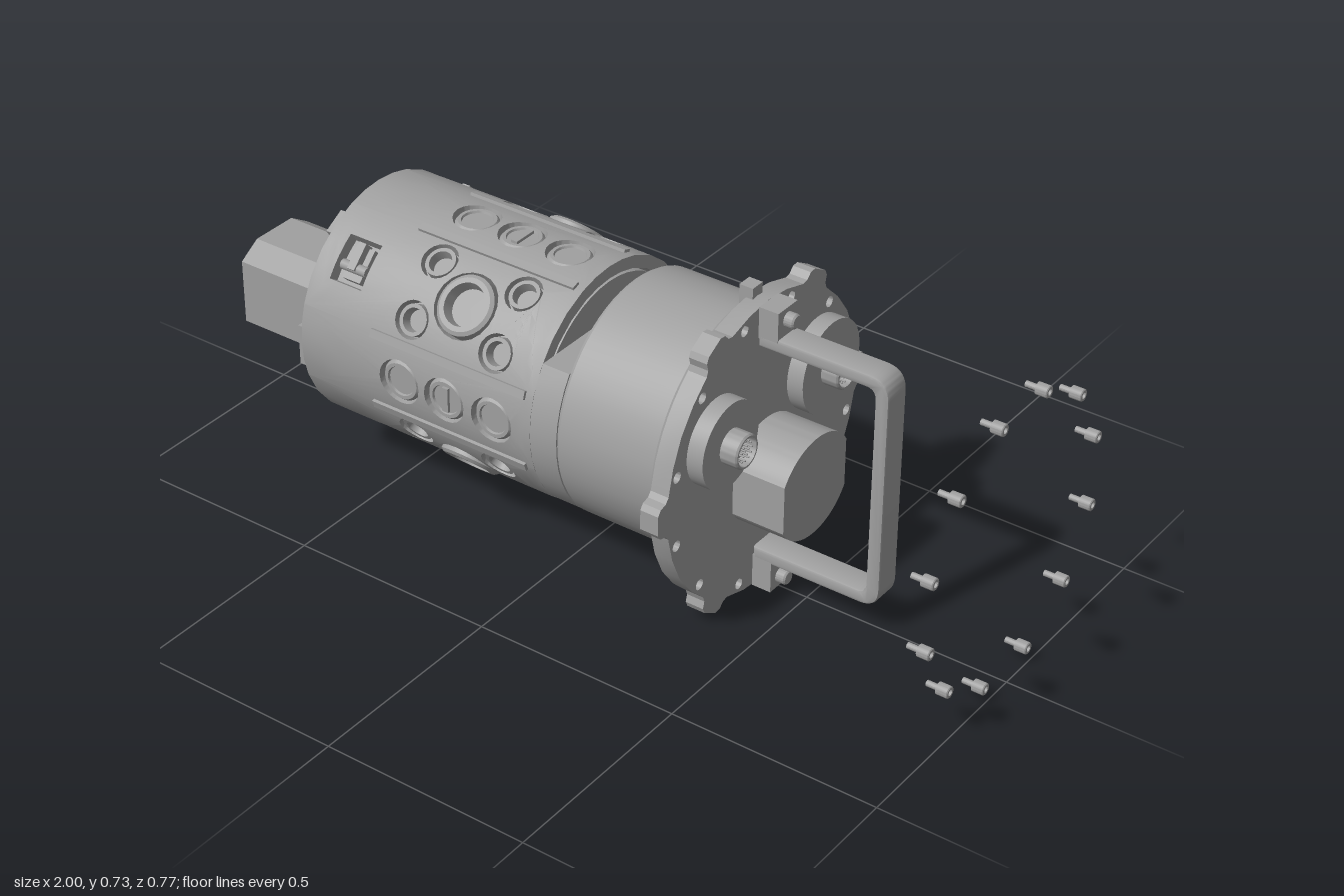
import * as THREE from 'three';
import { toCreasedNormals } from 'three/addons/utils/BufferGeometryUtils.js';

const CY = 0.36;          // height of the housing axis
const R = 0.285;          // housing radius
const rad = THREE.MathUtils.degToRad;

export function createModel() {
  const model = new THREE.Group();
  const grey = new THREE.MeshStandardMaterial({ color: 0xa0a0a0 });
  grey.name = 'metal grey';

  const add = (name, geo, pos = [0, 0, 0], parent = model) => {
    const mesh = new THREE.Mesh(geo, grey);
    mesh.name = name;
    mesh.position.set(...pos);
    parent.add(mesh);
    return mesh;
  };
  const box = (name, x0, x1, y0, y1, z0, z1, parent = model) =>
    add(name, new THREE.BoxGeometry(x1 - x0, y1 - y0, z1 - z0),
      [(x0 + x1) / 2, (y0 + y1) / 2, (z0 + z1) / 2], parent);
  // turned part from [radius, height] pairs, axis along y
  const lathe = (pts, seg = 32) =>
    toCreasedNormals(new THREE.LatheGeometry(pts.map(p => new THREE.Vector2(...p)), seg), 0.5);
  // turned part with its axis along x
  const latheX = (pts, seg) => lathe(pts, seg).rotateZ(-Math.PI / 2);
  // shape in the (z, y) plane pushed along x
  const extrudeX = (shape, x0, x1) => toCreasedNormals(
    new THREE.ExtrudeGeometry(shape, { depth: x1 - x0, bevelEnabled: false, curveSegments: 16 })
      .rotateY(Math.PI / 2).translate(x0, 0, 0), 0.4);
  const poly = pts => new THREE.Shape(pts.map(p => new THREE.Vector2(...p)));
  const hole = (x, y, r) => new THREE.Path().absarc(x, y, r, 0, Math.PI * 2, true);

  // split every triangle in four so a flat panel can bend
  const subdivide = geo => {
    const p = geo.attributes.position, out = [];
    const v = i => new THREE.Vector3().fromBufferAttribute(p, i);
    for (let i = 0; i < p.count; i += 3) {
      const a = v(i), b = v(i + 1), c = v(i + 2);
      const ab = a.clone().lerp(b, 0.5), bc = b.clone().lerp(c, 0.5), ca = c.clone().lerp(a, 0.5);
      for (const q of [a, ab, ca, ab, b, bc, ca, bc, c, ab, bc, ca]) out.push(q.x, q.y, q.z);
    }
    const g = new THREE.BufferGeometry();
    g.setAttribute('position', new THREE.Float32BufferAttribute(out, 3));
    return g;
  };
  // bend a flat (x, arc length) panel round the axis, facing +y
  const wrap = shape => {
    const flat = new THREE.ExtrudeGeometry(shape, { depth: 0.03, bevelEnabled: false, curveSegments: 10 });
    const g = subdivide(subdivide(flat));
    const p = g.attributes.position;
    for (let i = 0; i < p.count; i++) {
      const r = R - 0.03 + p.getZ(i), t = -p.getY(i) / R;
      p.setXYZ(i, p.getX(i), r * Math.cos(t), r * Math.sin(t));
    }
    return toCreasedNormals(g, 0.5);
  };

  // inner core and stepped end cap
  add('core', latheX([[0, -0.695], [0.215, -0.695], [0.235, -0.685], [0.235, -0.672], [0.27, -0.672],
    [0.27, -0.65], [0.248, -0.65], [0.248, -0.03], [0, -0.03]], 48), [0, CY, 0]);
  for (let i = 0; i < 6; i++) {
    const g = new THREE.Group();
    g.position.y = CY;
    g.rotation.x = rad(30 + i * 60);
    g.name = 'endTab';
    model.add(g);
    box('endTabBlock', -0.69, -0.66, 0.2, 0.272, -0.03, 0.03, g);
  }

  // housing shell in eight bent sectors with ports
  const smallPort = lathe([[0.036, 0.243], [0.036, 0.28], [0.027, 0.28], [0.024, 0.256], [0, 0.256]], 24);
  const bigPort = lathe([[0.07, 0.243], [0.07, 0.284], [0.062, 0.29], [0.05, 0.29], [0.044, 0.262], [0, 0.262]]);
  const plug = lathe([[0.05, 0.243], [0.05, 0.272], [0.044, 0.279], [0.036, 0.279], [0.034, 0.274], [0, 0.274]]);
  for (let i = 0; i < 8; i++) {
    const diagonal = i % 2 === 1;
    const half = rad(diagonal ? 26 : 19) * R;
    const sector = new THREE.Group();
    sector.name = diagonal ? 'portSector' : 'plugSector';
    sector.position.y = CY;
    sector.rotation.x = i * Math.PI / 4;
    model.add(sector);
    const shape = poly([[-0.67, -half], [-0.03, -half], [-0.03, half], [-0.67, half]]);
    if (diagonal) {
      shape.holes.push(hole(-0.265, 0, 0.078));
      add('largePort', bigPort, [-0.265, 0, 0], sector);
      for (const sx of [-1, 1]) for (const sa of [-1, 1]) {
        const x = -0.265 + sx * 0.115;
        shape.holes.push(hole(x, sa * 0.072, 0.044));
        add('smallPort', smallPort, [x, 0, 0], sector).rotation.x = -sa * 0.072 / R;
      }
      if (i === 1 || i === 7) {   // latch window in the upper sectors
        shape.holes.push(new THREE.Path([[-0.62, -0.055], [-0.62, 0.055], [-0.53, 0.055], [-0.53, -0.055]]
          .map(p => new THREE.Vector2(...p))));
        box('latchBase', -0.6, -0.55, 0.24, 0.268, -0.04, 0.04, sector);
        box('latchLever', -0.585, -0.565, 0.26, 0.288, -0.045, 0.02, sector);
        add('latchPin', new THREE.CylinderGeometry(0.012, 0.012, 0.07, 16).rotateZ(Math.PI / 2),
          [-0.575, 0.272, 0.012], sector);
      }
    } else {
      for (const x of [-0.39, -0.265, -0.135]) {
        shape.holes.push(hole(x, 0, 0.055));
        add('plug', plug, [x, 0, 0], sector);
      }
      box('plugSlot', -0.273, -0.257, 0.27, 0.281, -0.03, 0.03, sector);
      for (const s of [-1, 1]) {
        const rail = new THREE.Group();
        rail.name = 'rail';
        rail.rotation.x = s * rad(18.5);
        sector.add(rail);
        box('railBar', -0.475, -0.05, 0.26, 0.292, -0.01, 0.01, rail);
      }
    }
    add('shell', wrap(shape), [0, 0, 0], sector);
  }

  // slot section: round below, cut flat at the top
  const cut = Math.asin(0.16 / R);
  const slot = new THREE.Shape();
  slot.absarc(0, CY, R - 0.001, Math.PI - cut, Math.PI * 2 + cut, false);
  add('slotSection', extrudeX(slot, -0.03, 0.04));
  // rear barrel and collar
  add('barrel', latheX([[0, 0.04], [0.28, 0.04], [R, 0.048], [R, 0.305], [0.278, 0.308], [0.278, 0.315],
    [0.325, 0.315], [0.335, 0.325], [0.335, 0.34], [0, 0.34]], 64), [0, CY, 0]);

  // flange plate with six lugs and twelve screw holes
  const polar = (deg, r) => [r * Math.cos(rad(deg)), 0.356 + r * Math.sin(rad(deg))];
  const outline = [];
  for (let i = 0; i < 6; i++) {
    const a = i * 60;
    for (const [d, r] of [[-8.5, 0.354], [-6.5, 0.362], [-5.5, 0.379], [-3.5, 0.387], [3.5, 0.387],
      [5.5, 0.379], [6.5, 0.362], [8.5, 0.354], [19, 0.354], [30, 0.355], [41, 0.354]])
      outline.push(polar(a + d, r));
  }
  const flange = poly(outline);
  const ring = [];
  for (let i = 0; i < 12; i++) ring.push(polar(15 + i * 30, 0.332));
  for (const [z, y] of ring) flange.holes.push(hole(z, y, 0.013));
  add('flange', extrudeX(flange, 0.335, 0.38));
  box('keyTab', 0.318, 0.352, 0.66, 0.735, -0.018, 0.018);

  // loose screws waiting behind the flange
  const screw = latheX([[0, 0.945], [0.007, 0.945], [0.007, 0.972], [0.014, 0.972], [0.014, 0.998],
    [0.012, 1], [0.007, 1], [0.007, 0.988], [0, 0.988]], 16);
  for (const [z, y] of ring) add('screw', screw, [0, y, z]);

  // handle: rounded U bar with bolted feet
  const u = new THREE.Shape();
  const [t, b] = [0.645, 0.075];
  u.moveTo(0.38, b).lineTo(0.65, b).quadraticCurveTo(0.7, b, 0.7, b + 0.05)
    .lineTo(0.7, t - 0.05).quadraticCurveTo(0.7, t, 0.65, t).lineTo(0.38, t)
    .lineTo(0.38, t - 0.03).lineTo(0.645, t - 0.03).quadraticCurveTo(0.667, t - 0.03, 0.667, t - 0.055)
    .lineTo(0.667, b + 0.055).quadraticCurveTo(0.667, b + 0.03, 0.645, b + 0.03).lineTo(0.38, b + 0.03);
  add('handle', toCreasedNormals(new THREE.ExtrudeGeometry(u, { depth: 0.058, bevelThickness: 0.006,
    bevelSize: 0.006, bevelOffset: -0.006, bevelSegments: 2 }).translate(0, 0, -0.029), 0.5));
  for (const [y0, y1, y] of [[0.635, 0.71, 0.682], [0.003, 0.085, 0.031]]) {
    box('handleFoot', 0.38, 0.428, y0, y1, -0.035, 0.035);
    add('footBolt', latheX([[0.017, 0.425], [0.017, 0.448], [0.014, 0.452], [0, 0.452]], 20), [0, y, 0]);
  }

  // two round connectors with pins
  for (const [z, r] of [[0.187, 0.101], [-0.189, 0.11]]) {
    add('connector', latheX([[r, 0.37], [r, 0.42], [0.04, 0.42], [0.04, 0.458], [0.037, 0.462],
      [0.033, 0.462], [0.033, 0.435], [0, 0.435]], 40), [0, 0.465, z]);
    for (let i = 0; i < 19; i++) {
      const k = i === 0 ? 0 : i < 7 ? 1 : 2;
      const a = k === 1 ? i * Math.PI / 3 : i * Math.PI / 6;
      add('pin', new THREE.CylinderGeometry(0.002, 0.002, 0.025, 6).rotateZ(Math.PI / 2),
        [0.445, 0.465 + k * 0.012 * Math.sin(a), z + k * 0.012 * Math.cos(a)]);
    }
  }

  // central block: round with flat sides
  const block = new THREE.Shape();
  const flat = Math.acos(0.117 / 0.134);
  block.absarc(0, 0.296, 0.134, flat, Math.PI - flat, false);
  block.absarc(0, 0.296, 0.134, Math.PI + flat, Math.PI * 2 - flat, false);
  add('rearBlock', extrudeX(block, 0.37, 0.51).scale(1, 0.9, 1).translate(0, 0.03, 0));

  // front nose block and the shorter step under it
  add('noseBlock', extrudeX(poly([[-0.115, 0.21], [0.115, 0.21], [0.115, 0.37], [0.06, 0.405],
    [-0.06, 0.405], [-0.115, 0.37]]), -1, -0.66));
  add('noseStep', extrudeX(poly([[-0.1, 0.142], [-0.055, 0.142], [-0.055, 0.1], [0.055, 0.1],
    [0.055, 0.142], [0.1, 0.142], [0.1, 0.215], [-0.1, 0.215]]), -0.85, -0.66));

  return model;
}
